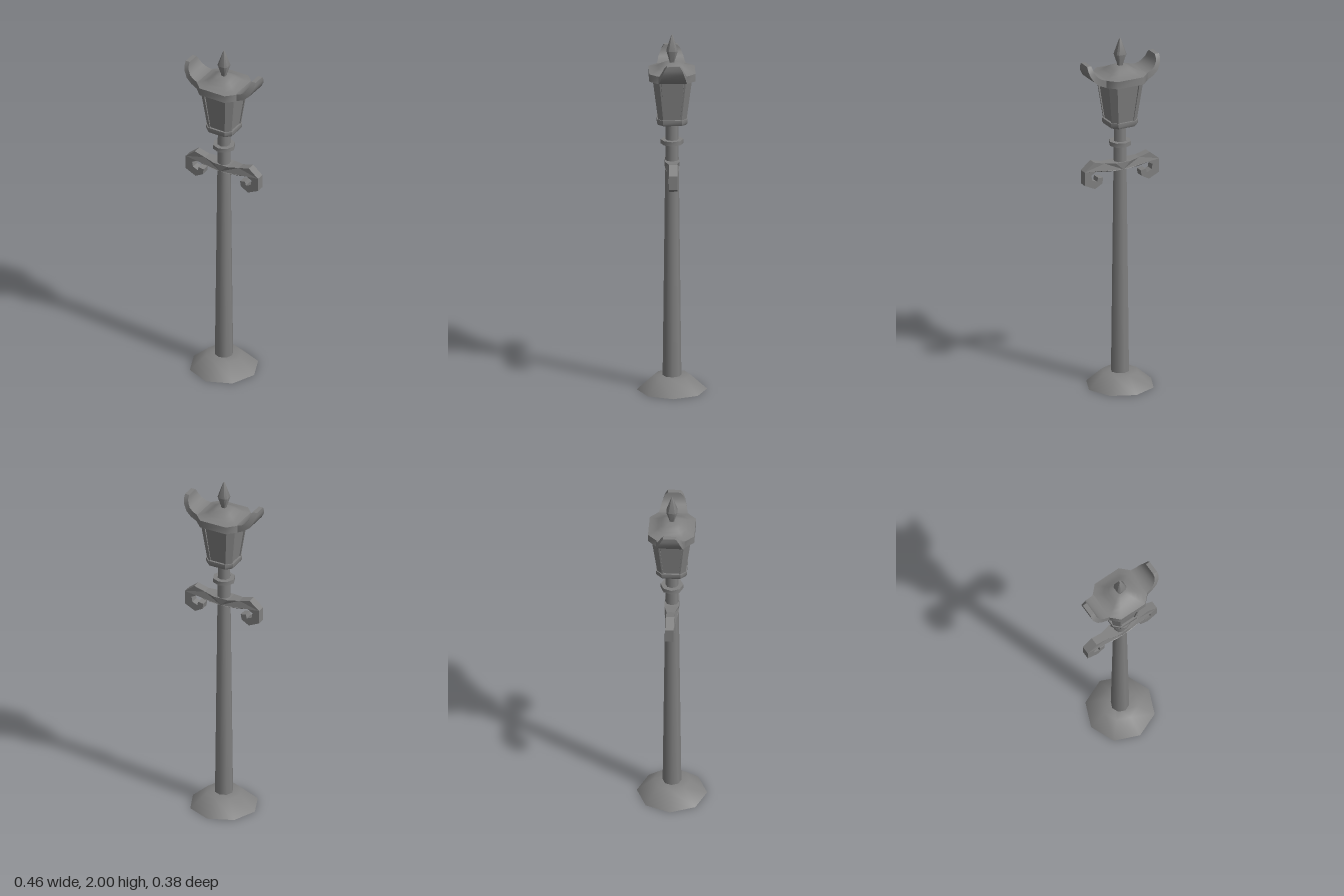
import * as THREE from 'three';
import { toCreasedNormals } from 'three/addons/utils/BufferGeometryUtils.js';

const material = new THREE.MeshStandardMaterial({ color: 0x808080, side: THREE.DoubleSide });

function add(parent, name, geometry) {
  const mesh = new THREE.Mesh(geometry, material);
  mesh.name = name;
  parent.add(mesh);
  return mesh;
}

// Skin a row of equal-length closed rings and cap both ends
function loft(rings, crease = 0.6) {
  const n = rings[0].length, last = rings.length - 1;
  const points = rings.flat(), index = [];
  const centre = ring => [0, 1, 2].map(k => ring.reduce((s, p) => s + p[k], 0) / n);
  points.push(centre(rings[0]), centre(rings[last]));
  const bottom = points.length - 2, top = points.length - 1;
  for (let j = 0; j < n; j++) {
    const k = (j + 1) % n;
    for (let i = 0; i < last; i++) {
      const a = i * n + j, b = i * n + k;
      index.push(a, a + n, b, b, a + n, b + n);
    }
    index.push(bottom, j, k, top, last * n + k, last * n + j);
  }
  const geometry = new THREE.BufferGeometry();
  geometry.setAttribute('position', new THREE.Float32BufferAttribute(points.flat(), 3));
  geometry.setIndex(index);
  return toCreasedNormals(geometry, crease);
}

// Tower of squares with cut corners: half width h at height y
function cutTower(profile, crease = 0.6, ratio = 0.63) {
  return loft(profile.map(([h, y]) => {
    const c = h * ratio;
    return [[h, c], [c, h], [-c, h], [-h, c], [-h, -c], [-c, -h], [c, -h], [h, -c]]
      .map(([x, z]) => [x, y, z]);
  }), crease);
}

// One corner strip of the lantern frame: half width h, cut at c
function postRing(h, c, y) {
  const inner = h - 0.016, edge = c - 0.008;
  return [[h, c], [c, h], [edge, h], [edge, inner], [inner, edge], [h, edge]]
    .map(([x, z]) => [x, y, z]);
}

export function createModel() {
  const model = new THREE.Group();
  model.name = 'streetLamp';

  // Hollow foot
  const foot = new THREE.LatheGeometry(
    [[0.19, 0], [0.1, 0.08], [0.04, 0.08]].map(p => new THREE.Vector2(...p)), 8);
  add(model, 'foot', toCreasedNormals(foot, 0.8));

  // Tapered pole and its ring
  const pole = add(model, 'pole', new THREE.CylinderGeometry(0.034, 0.051, 1.46, 8, 1, true));
  pole.position.y = 0.79;
  const ring = add(model, 'poleRing',
    toCreasedNormals(new THREE.CylinderGeometry(0.061, 0.061, 0.024, 8), 0.9));
  ring.position.y = 1.4;

  // Scrolled arms, a little deeper where they meet the pole
  const scroll = new THREE.Shape([
    [0, 1.296], [0.045, 1.296], [0.106, 1.302], [0.17, 1.319], [0.228, 1.272],
    [0.228, 1.195], [0.165, 1.165], [0.12, 1.19], [0.115, 1.222], [0.146, 1.227],
    [0.152, 1.205], [0.182, 1.218], [0.187, 1.247], [0.157, 1.264], [0.106, 1.253],
    [0.045, 1.255], [0, 1.255],
  ].map(p => new THREE.Vector2(...p)));
  const armGeometry = new THREE.ExtrudeGeometry(scroll, { depth: 0.046, bevelEnabled: false });
  armGeometry.translate(0, 0, -0.023);
  const armPoints = armGeometry.attributes.position;
  for (let i = 0; i < armPoints.count; i++) {
    if (armPoints.getX(i) < 0.05) armPoints.setZ(i, Math.sign(armPoints.getZ(i)) * 0.039);
  }
  armGeometry.computeVertexNormals();

  // Lantern: collar, glazed body and frame
  const lantern = new THREE.Group();
  lantern.name = 'lantern';
  model.add(lantern);
  add(lantern, 'collar', cutTower([[0.077, 1.508], [0.083, 1.52], [0.083, 1.54]]));
  add(lantern, 'glass', cutTower([[0.071, 1.535], [0.098, 1.77]]));
  const postGeometry = loft([postRing(0.077, 0.05, 1.538), postRing(0.106, 0.072, 1.765)]);
  for (let i = 0; i < 4; i++) add(lantern, 'cornerPost', postGeometry).rotation.y = i * Math.PI / 2;

  // Roof rim rising to a shallow dome
  add(lantern, 'roof', cutTower([
    [0.125, 1.761], [0.125, 1.803], [0.1, 1.808], [0.075, 1.82],
    [0.055, 1.834], [0.035, 1.844], [0.015, 1.847],
  ], 0.85));

  // Upswept roof wings: upper x, y, lower x, y, half depth
  const wingGeometry = loft([
    [0.085, 1.803, 0.1, 1.761, 0.079],
    [0.125, 1.804, 0.125, 1.762, 0.078],
    [0.15, 1.811, 0.163, 1.778, 0.073],
    [0.173, 1.827, 0.194, 1.803, 0.068],
    [0.188, 1.85, 0.214, 1.838, 0.058],
    [0.193, 1.87, 0.22, 1.862, 0.049],
    [0.195, 1.886, 0.22, 1.886, 0.035],
  ].map(([ux, uy, lx, ly, d]) => [[ux, uy, d], [ux, uy, -d], [lx, ly, -d], [lx, ly, d]]));

  for (const turn of [0, Math.PI]) {
    add(model, 'scrollArm', armGeometry).rotation.y = turn;
    add(lantern, 'roofWing', wingGeometry).rotation.y = turn;
  }

  // Pointed finial
  add(lantern, 'finial', cutTower(
    [[0.012, 1.835], [0.014, 1.855], [0.03, 1.912], [0.004, 2]], 0.85, 0.6));

  return model;
}
